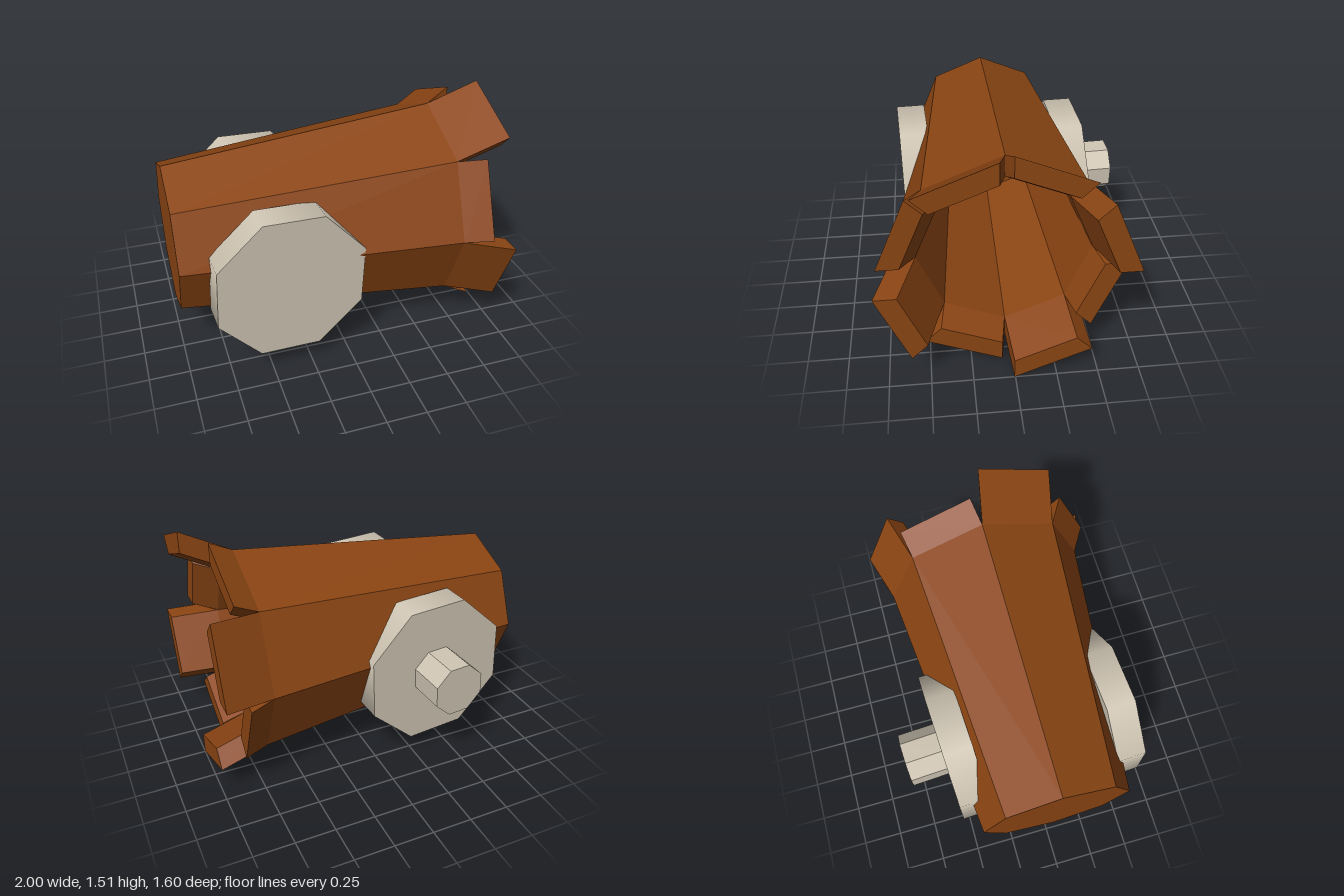
import * as THREE from 'three';

const CY = 0.74, CZ = 0.035;   // centre of the octagonal barrel
const WALL = 0.134;            // wall thickness measured at the corners
const STEP = Math.PI / 4;

const wood = new THREE.MeshStandardMaterial({ color: 0x8b4513, flatShading: true });
const stone = new THREE.MeshStandardMaterial({ color: 0xcfc5b3 });
const stoneFlat = new THREE.MeshStandardMaterial({ color: 0xcfc5b3, flatShading: true });

// Loft four-cornered sections along x, with both ends closed
function loft(sections) {
  const pos = [];
  const quad = (a, b, c, d) => [a, b, c, a, c, d].forEach(p => pos.push(...p));
  for (let s = 0; s < sections.length - 1; s++) {
    for (let j = 0; j < 4; j++) {
      const k = (j + 1) % 4;
      quad(sections[s][j], sections[s + 1][j], sections[s + 1][k], sections[s][k]);
    }
  }
  const [a, b, c, d] = sections[0];
  quad(a, b, c, d);
  const [e, f, g, h] = sections[sections.length - 1];
  quad(h, g, f, e);
  const geo = new THREE.BufferGeometry();
  geo.setAttribute('position', new THREE.Float32BufferAttribute(pos, 3));
  geo.computeVertexNormals();
  return geo;
}

// Mitred stave cross-section at x, pushed outward along the stave's normal
function staveSection(i, x, r, push = 0) {
  const a0 = i * STEP, a1 = a0 + STEP, mid = a0 + STEP / 2;
  return [[r, a0], [r, a1], [r - WALL, a1], [r - WALL, a0]].map(([q, a]) => [
    x,
    CY + q * Math.sin(a) + push * Math.sin(mid),
    CZ + q * Math.cos(a) + push * Math.cos(mid),
  ]);
}

// Octagonal disc or peg with its axis along z, slightly twisted and tilted
function octagon(name, radius, depth, position, material) {
  const geo = new THREE.CylinderGeometry(radius, radius, depth, 8, 1, false, Math.PI / 8);
  geo.rotateX(Math.PI / 2);
  geo.rotateZ(-0.042);
  geo.rotateY(0.056);
  const mesh = new THREE.Mesh(geo, material);
  mesh.name = name;
  mesh.position.set(...position);
  return mesh;
}

export function createModel() {
  const model = new THREE.Group();
  model.name = 'splitBarrel';

  // Staves: tapered barrel walls ending in splayed, alternately long and short tips
  const flare = [0.098, 0.152, 0.087, 0.1, 0.051, 0.078, 0.07, 0.115];
  const staves = new THREE.Group();
  staves.name = 'staves';
  flare.forEach((push, i) => {
    const tip = i % 2 ? 1 : 0.85;
    const stave = new THREE.Mesh(loft([
      staveSection(i, -1, 0.47),
      staveSection(i, 0.7, 0.65),
      staveSection(i, tip, 0.65, push),
    ]), wood);
    stave.name = 'stave';
    staves.add(stave);
  });
  model.add(staves);

  // Solid plug closing the narrow end and forming the floor of the bore
  const floorX = -0.54;
  const plugGeo = new THREE.CylinderGeometry(0.47 - WALL, 0.385, floorX + 1, 8);
  plugGeo.rotateZ(Math.PI / 2);
  const plug = new THREE.Mesh(plugGeo, wood);
  plug.name = 'plug';
  plug.position.set((floorX - 1) / 2, CY, CZ);
  model.add(plug);

  // Side discs and the peg on the back one
  model.add(octagon('frontDisc', 0.487, 0.185, [-0.375, 0.615, 0.547], stone));
  model.add(octagon('backDisc', 0.487, 0.185, [-0.38, 0.612, -0.47], stone));
  model.add(octagon('peg', 0.171, 0.255, [-0.393, 0.608, -0.675], stoneFlat));

  return model;
}
